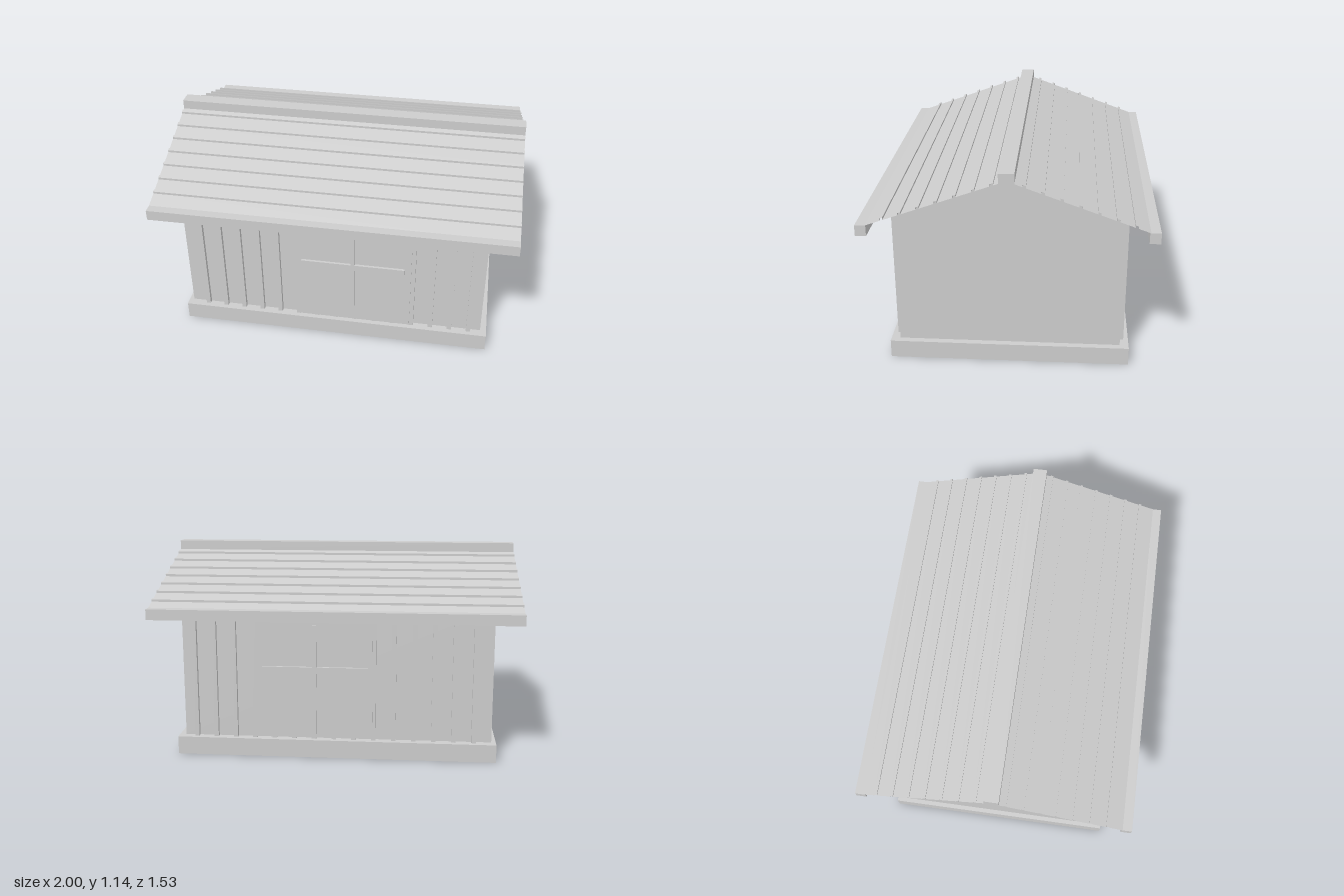
import * as THREE from 'three';

export function createModel() {
  const model = new THREE.Group();
  model.name = 'shed';
  const grey = new THREE.MeshStandardMaterial({ color: 0xcccccc, side: THREE.DoubleSide });
  grey.name = 'plain grey';

  const add = (name, geometry, parent = model) => {
    const mesh = new THREE.Mesh(geometry, grey);
    mesh.name = name;
    parent.add(mesh);
    return mesh;
  };
  // Box given by its limits on each axis
  const box = (name, x0, x1, y0, y1, z0, z1, parent) =>
    add(name, new THREE.BoxGeometry(x1 - x0, y1 - y0, z1 - z0), parent)
      .position.set((x0 + x1) / 2, (y0 + y1) / 2, (z0 + z1) / 2);

  // Base slab
  box('foundation', -0.885, 0.885, 0, 0.1, -0.648, 0.648);

  // Walls with gable ends, extruded along x
  const gable = new THREE.Shape([
    [-0.6, 0.1], [0.6, 0.1], [0.6, 0.853], [0, 1.072], [-0.6, 0.853],
  ].map(([z, y]) => new THREE.Vector2(z, y)));
  const walls = new THREE.ExtrudeGeometry(gable, { depth: 1.71, bevelEnabled: false });
  walls.rotateY(Math.PI / 2);
  walls.translate(-0.86, 0, 0);
  add('walls', walls);

  // Thin ribbed roof sheet: a folded profile swept along x
  const roofSheet = (side, ribStart) => {
    const surfaceY = (z) => 1.102 - 0.36 * z;
    const profile = [[0, surfaceY(0)]];
    for (let i = 0; i < 7; i++) {
      const a = ribStart + i * 0.0927, b = a + 0.0155;
      profile.push([a, surfaceY(a)], [a, surfaceY(a) + 0.012],
        [b, surfaceY(b) + 0.012], [b, surfaceY(b)]);
    }
    profile.push([0.735, surfaceY(0.735)]);
    const positions = [];
    for (let i = 0; i + 1 < profile.length; i++) {
      const [za, ya] = profile[i], [zb, yb] = profile[i + 1];
      const a0 = [-1, ya, za * side], a1 = [1, ya, za * side];
      const b0 = [-1, yb, zb * side], b1 = [1, yb, zb * side];
      const corners = side > 0 ? [a0, b0, b1, a0, b1, a1] : [a0, b1, b0, a0, a1, b1];
      positions.push(...corners.flat());
    }
    const geometry = new THREE.BufferGeometry();
    geometry.setAttribute('position', new THREE.Float32BufferAttribute(positions, 3));
    geometry.computeVertexNormals();
    return geometry;
  };
  add('frontRoofSheet', roofSheet(1, 0.064));
  add('backRoofSheet', roofSheet(-1, 0.08));

  // Ridge cap and eave beams
  box('ridgeCap', -1, 1, 1.085, 1.14, -0.04, 0.04);
  box('frontEaveBeam', -1, 1, 0.787, 0.845, 0.708, 0.765);
  box('backEaveBeam', -1, 1, 0.787, 0.845, -0.765, -0.708);

  // Cladding ribs and window on both long walls
  for (const [label, s] of [['front', 1], ['back', -1]]) {
    const face = new THREE.Group();
    face.name = label + 'Cladding';
    model.add(face);
    const part = (name, x0, x1, y0, y1, depth) =>
      box(name, x0, x1, y0, y1, Math.min(s * 0.598, s * depth), Math.max(s * 0.598, s * depth), face);

    for (let i = 0; i < 15; i++) {
      const x = -0.7625 + i * 0.1103;
      part('wallRib', x - 0.0125, x + 0.0125, 0.1, 0.83, 0.622);
    }
    part('windowPanel', -0.205, 0.44, 0.11, 0.778, 0.63);
    part('windowUpright', 0.102, 0.124, 0.133, 0.747, 0.645);
    part('windowCrossbar', -0.18, 0.402, 0.478, 0.515, 0.644);
  }
  return model;
}
